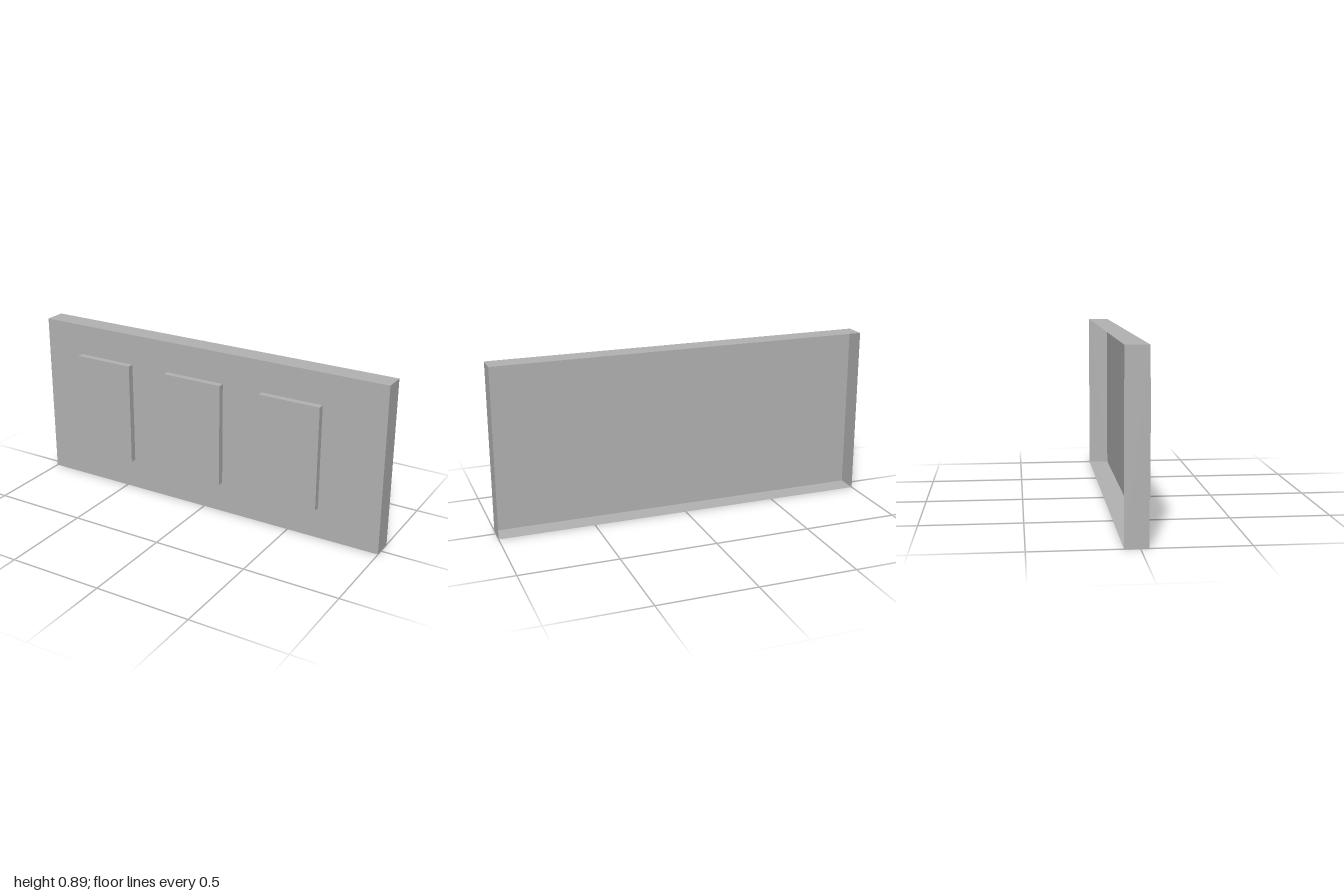
import * as THREE from 'three';

const grey = new THREE.MeshStandardMaterial({ color: 0xb3b3b3, side: THREE.DoubleSide });
grey.name = 'plain grey';

// Thin-walled box with no back face, given by its lower left back corner and its size
function openBackBox(name, x, y, z, width, height, depth) {
  const geometry = new THREE.BoxGeometry(width, height, depth);
  geometry.setIndex(Array.from(geometry.index.array).slice(0, 30)); // the back is the last of six faces
  geometry.clearGroups();
  const mesh = new THREE.Mesh(geometry, grey);
  mesh.name = name;
  mesh.position.set(x + width / 2, y + height / 2, z + depth / 2);
  return mesh;
}

export function createModel() {
  const group = new THREE.Group();
  group.name = 'wallPanel';

  // Shallow tray, hollow from behind
  group.add(openBackBox('panelShell', -1, 0, -0.0722, 2, 0.8889, 0.1111));

  // Three raised rectangles, evenly spaced on the front
  for (let i = 0; i < 3; i++) {
    group.add(openBackBox(`raisedPanel${i + 1}`, -0.7778 + i * 0.5556, 0.1667, 0.0389, 0.3333, 0.5556, 0.0333));
  }
  return group;
}
